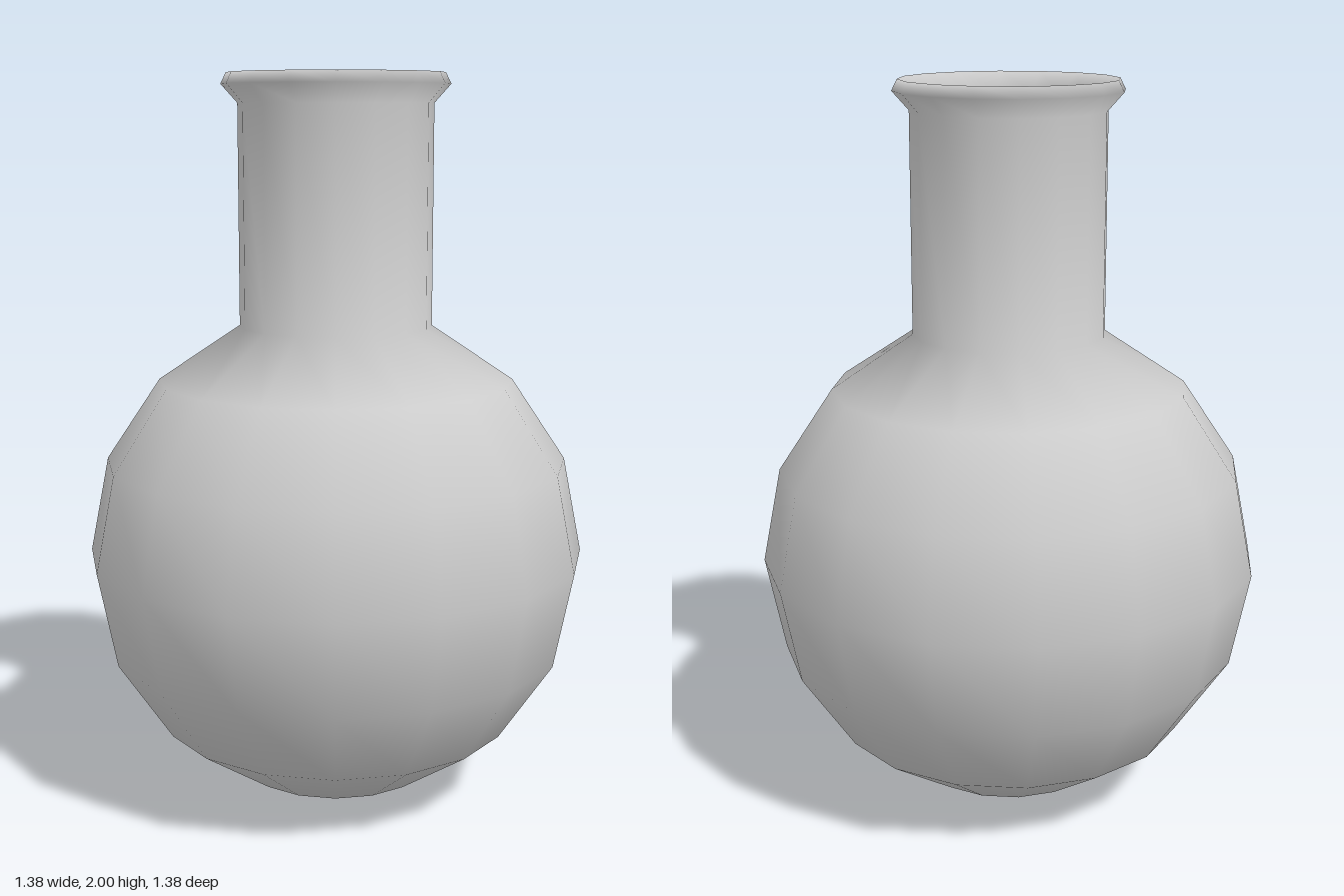
import * as THREE from 'three';

const SIDES = 16;

export function createModel() {
  const model = new THREE.Group();
  const grey = new THREE.MeshStandardMaterial({ color: 0xcccccc });
  grey.name = 'light grey';

  const add = (name, geometry) => {
    const mesh = new THREE.Mesh(geometry, grey);
    mesh.name = name;
    model.add(mesh);
    return mesh;
  };

  // Round belly: a circle in 22.5 degree steps, stopping at the neck
  const R = 0.688;
  const profile = [];
  for (let i = 0; i <= 7; i++) {
    const a = (i * Math.PI) / 8;
    profile.push(new THREE.Vector2(R * Math.sin(a), R - R * Math.cos(a)));
  }

  // Straight neck, flared lip, then down the inside of the neck
  const neckR = R * Math.sin(Math.PI / 8);
  const innerR = 0.22;
  const floorY = 1.33;
  profile.push(
    new THREE.Vector2(neckR, 1.92),
    new THREE.Vector2(0.308, 1.97),
    new THREE.Vector2(0.293, 2.0),
    new THREE.Vector2(innerR, 1.95),
    new THREE.Vector2(innerR, floorY),
  );
  add('flask', new THREE.LatheGeometry(profile, SIDES));

  // Flat floor inside the neck
  const floor = add('neckFloor', new THREE.CircleGeometry(innerR, SIDES));
  floor.rotation.x = -Math.PI / 2;
  floor.position.y = floorY;

  return model;
}
